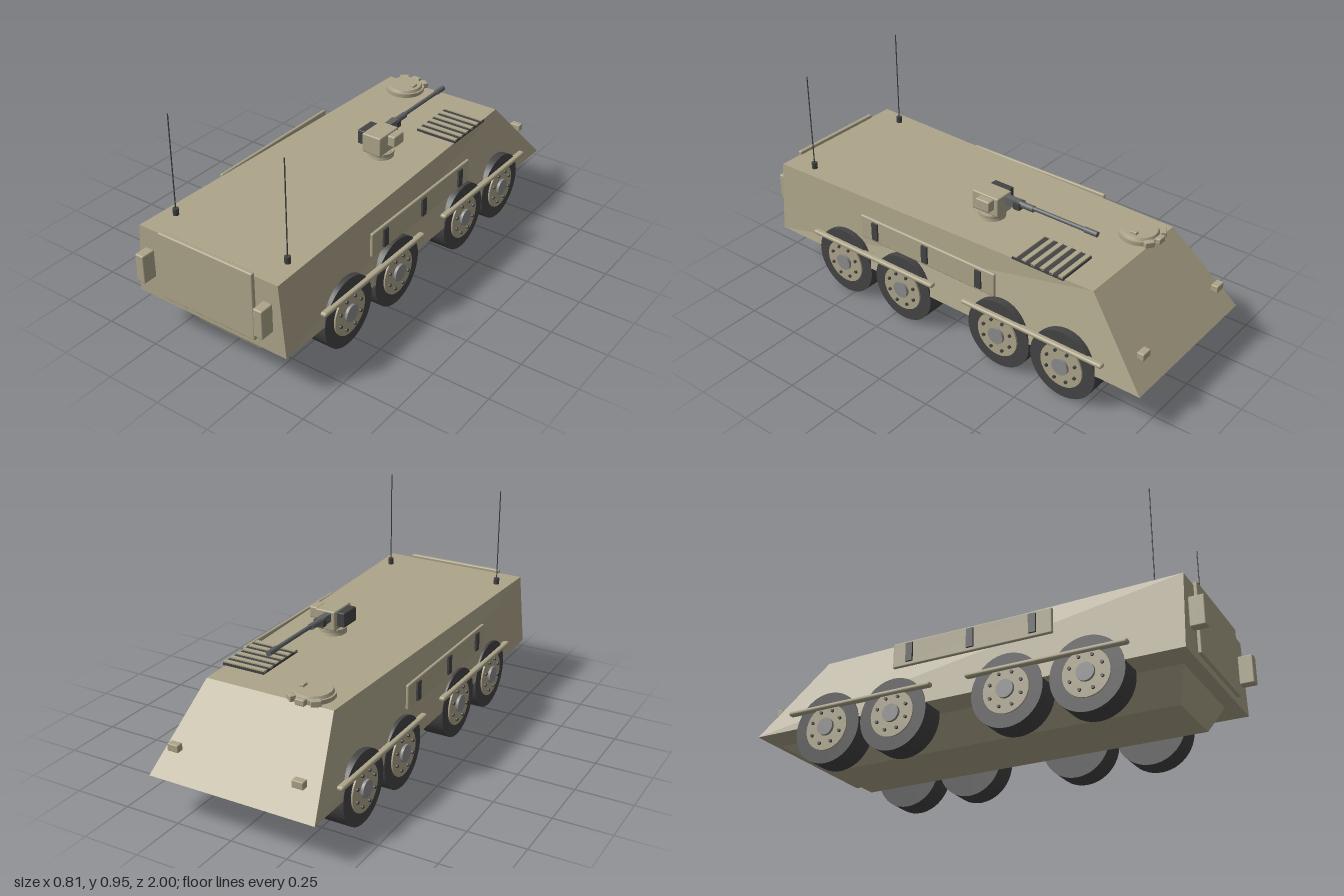
import * as THREE from 'three';
import { RoundedBoxGeometry } from 'three/addons/geometries/RoundedBoxGeometry.js';

const mat = (color, extra = {}) => new THREE.MeshStandardMaterial({ color, ...extra });

export function createModel() {
  const root = new THREE.Group();
  const tan = mat(0xada58a), dark = mat(0x444444), steel = mat(0x8c8c8c), gunGrey = mat(0x606264);

  const add = (name, geo, material, x = 0, y = 0, z = 0, parent = root) => {
    const m = new THREE.Mesh(geo, material);
    m.name = name;
    m.position.set(x, y, z);
    parent.add(m);
    return m;
  };
  const box = (w, h, d) => new THREE.BoxGeometry(w, h, d);
  const rbox = (w, h, d, r = 0.006) => new RoundedBoxGeometry(w, h, d, 2, r);
  const cyl = (r1, r2, h, n = 32) => new THREE.CylinderGeometry(r1, r2, h, n);
  const cylX = (r, h, n = 32) => cyl(r, r, h, n).rotateZ(Math.PI / 2);
  const cylZ = (r, h, n = 20) => cyl(r, r, h, n).rotateX(Math.PI / 2);

  // Tapered block: each level gives front z, rear z, front half width, rear half width
  const block = (yTop, top, yBottom, bottom) => {
    const geo = new THREE.BoxGeometry(2, 2, 2).toNonIndexed();
    const p = geo.attributes.position;
    for (let i = 0; i < p.count; i++) {
      const up = p.getY(i) > 0, rear = p.getZ(i) > 0 ? 1 : 0;
      const level = up ? top : bottom;
      p.setXYZ(i, Math.sign(p.getX(i)) * level[2 + rear], up ? yTop : yBottom, level[rear]);
    }
    geo.computeVertexNormals();
    return geo;
  };

  // Hull; the nose points to -z
  add('upperHull', block(0.5, [-0.715, 0.933, 0.29, 0.345], 0.18, [-1, 0.933, 0.375, 0.375]), tan);
  add('lowerHull', block(0.18, [-0.975, 0.875, 0.24, 0.24], 0.055, [-0.765, 0.825, 0.155, 0.155]), tan);
  add('rearDoor', rbox(0.47, 0.305, 0.02), tan, 0, 0.362, 0.939);

  // Wheels with rim, hub cap and bolts
  const wheel = (s, z) => {
    const g = new THREE.Group();
    g.name = 'wheel';
    g.position.set(s * 0.32, 0.158, z);
    root.add(g);
    add('tyre', cylX(0.156, 0.11, 48), dark, 0, 0, 0, g);
    add('rim', cylX(0.1, 0.012), tan, s * 0.056, 0, 0, g);
    add('hubCap', cylX(0.038, 0.02, 24), steel, s * 0.064, 0, 0, g);
    for (let i = 0; i < 8; i++) {
      const a = (i + 0.5) * Math.PI / 4;
      add('wheelBolt', cylX(0.007, 0.012, 8), dark, s * 0.064, Math.sin(a) * 0.073, Math.cos(a) * 0.073, g);
    }
  };

  for (const s of [1, -1]) {
    for (const z of [0.54, 0.2, -0.32, -0.64]) wheel(s, z);

    // Mudguard rails above each wheel pair
    for (const z of [0.368, -0.485]) add('mudguard', rbox(0.03, 0.02, 0.695, 0.009), tan, s * 0.38, 0.25, z);

    // Side armour panel with dark straps
    add('sidePanel', rbox(0.015, 0.11, 0.725), tan, s * 0.388, 0.405, 0.047);
    for (const z of [0.325, 0.048, -0.235]) add('panelStrap', box(0.018, 0.082, 0.031), dark, s * 0.395, 0.407, z);

    // Rear boxes, head lamps and aerials
    add('rearBox', rbox(0.043, 0.127, 0.065), tan, s * 0.297, 0.347, 0.966);
    add('headLamp', rbox(0.05, 0.032, 0.032, 0.004), tan, s * 0.281, 0.307, -0.949);
    add('aerialBase', cyl(0.013, 0.013, 0.03, 12), dark, s * 0.281, 0.514, 0.795);
    add('aerial', cyl(0.0025, 0.0025, 0.425, 8), dark, s * 0.281, 0.737, 0.795);
  }

  // Driver's hatch with periscopes
  const hatch = new THREE.Group();
  hatch.name = 'hatch';
  hatch.position.set(-0.157, 0.5, -0.64);
  root.add(hatch);
  add('hatchRing', cyl(0.088, 0.088, 0.018, 40), tan, 0, 0.009, 0, hatch);
  add('hatchLid', cyl(0.074, 0.08, 0.012, 40), tan, 0, 0.024, 0, hatch);
  add('hatchHandle', rbox(0.02, 0.014, 0.03, 0.003), tan, 0.047, 0.034, 0, hatch);
  for (const a of [-0.62, 0, 0.62]) {
    const p = add('periscope', rbox(0.042, 0.026, 0.026, 0.004), tan, Math.sin(a) * 0.094, 0.013, -Math.cos(a) * 0.094, hatch);
    p.rotation.y = -a;
  }

  // Engine grille
  add('grilleBase', box(0.195, 0.012, 0.25), dark, 0.208, 0.504, -0.459);
  for (let i = 0; i < 6; i++) add('grilleSlat', box(0.195, 0.01, 0.02), tan, 0.208, 0.51, -0.57 + i * 0.0445);

  // Remote weapon mount
  const mount = new THREE.Group();
  mount.name = 'weaponMount';
  mount.position.set(0.097, 0.5, -0.07);
  root.add(mount);
  add('mountRing', cyl(0.06, 0.06, 0.014), tan, 0, 0.02, 0, mount);
  add('mountFoot', cyl(0.052, 0.06, 0.03), tan, 0, 0.013, 0, mount);
  add('mountHousing', rbox(0.094, 0.088, 0.136), tan, 0, 0.074, 0.002, mount);
  add('sightBox', rbox(0.038, 0.064, 0.098, 0.004), dark, -0.066, 0.081, 0, mount);
  add('ammoBox', rbox(0.038, 0.05, 0.07), tan, 0.067, 0.09, -0.015, mount);
  add('gunBody', box(0.03, 0.036, 0.07), gunGrey, -0.015, 0.092, -0.1, mount);
  add('gunGrip', box(0.044, 0.03, 0.03), dark, -0.015, 0.09, -0.13, mount);
  add('gunSleeve', cylZ(0.014, 0.14), gunGrey, -0.015, 0.097, -0.135, mount);
  add('gunBarrel', cylZ(0.009, 0.33), gunGrey, -0.015, 0.1, -0.352, mount);
  add('gunMuzzle', cylZ(0.012, 0.06), gunGrey, -0.015, 0.1, -0.488, mount);

  return root;
}
